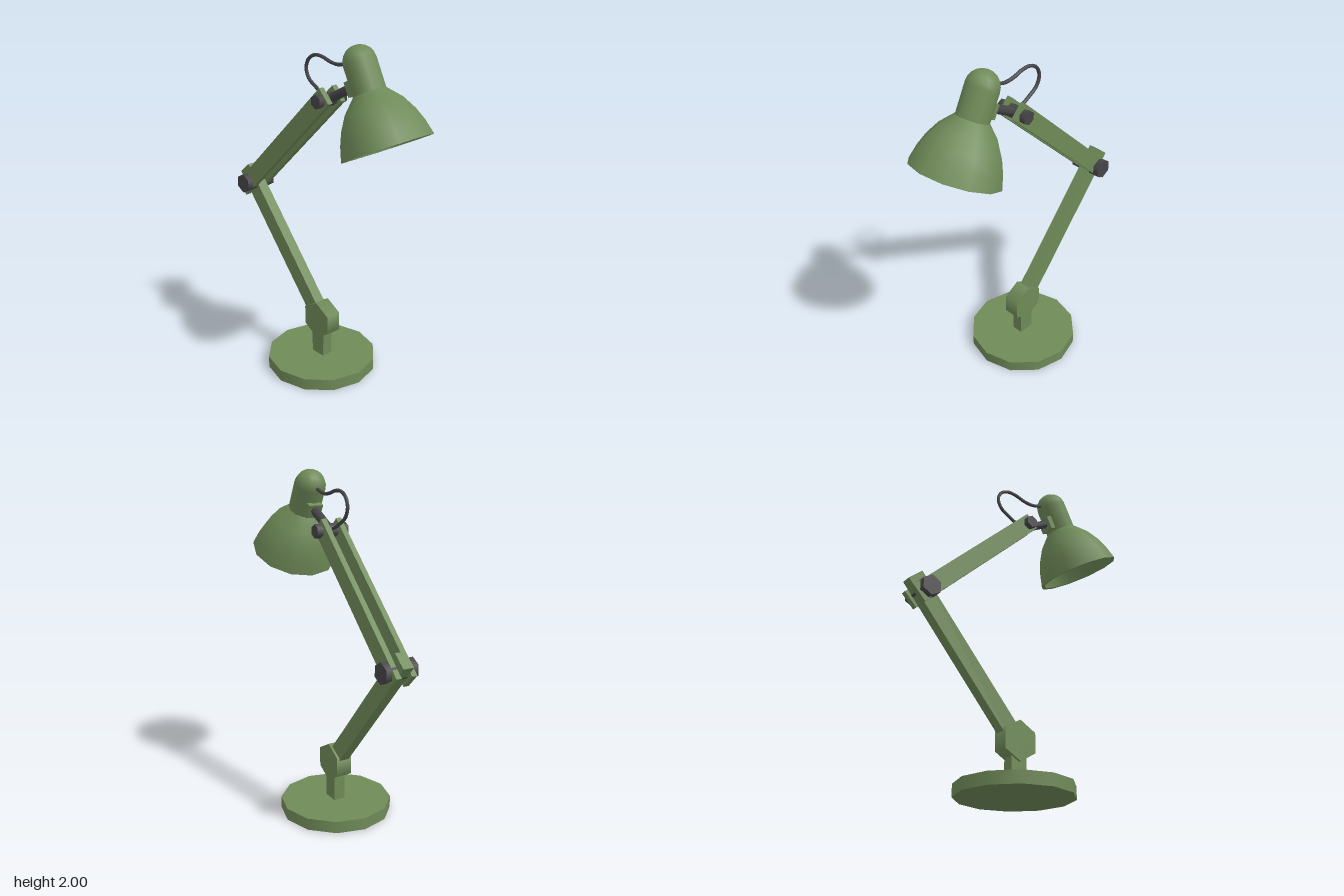
import * as THREE from 'three';

const paint = new THREE.MeshStandardMaterial({ color: 0x6f8a58 });
paint.name = 'green paint';
const dark = new THREE.MeshStandardMaterial({ color: 0x454548 });
dark.name = 'dark plastic';
const glass = new THREE.MeshStandardMaterial({ color: 0xc8c8cc });
glass.name = 'bulb glass';

export function createModel() {
  const lamp = new THREE.Group();
  lamp.name = 'deskLamp';

  const add = (parent, name, geometry, material, x = 0, y = 0, z = 0) => {
    const mesh = new THREE.Mesh(geometry, material);
    mesh.name = name;
    mesh.position.set(x, y, z);
    parent.add(mesh);
    return mesh;
  };

  // Hexagonal joint lying along x, with a corner pointing up
  const hexJoint = (name, radius, width, material, y, z) =>
    add(lamp, name, new THREE.CylinderGeometry(radius, radius, width, 6)
      .rotateY(Math.PI / 6).rotateZ(Math.PI / 2), material, 0, y, z);

  // Straight bar in the y-z plane between two [y, z] points
  const bar = (name, a, b, width, depth, x = 0) => {
    const dy = b[0] - a[0], dz = b[1] - a[1];
    const mesh = add(lamp, name, new THREE.BoxGeometry(width, Math.hypot(dy, dz), depth),
      paint, x, (a[0] + b[0]) / 2, (a[1] + b[1]) / 2);
    mesh.rotation.x = Math.atan2(dz, dy);
    return mesh;
  };

  // Base, post and lower joint
  add(lamp, 'base', new THREE.CylinderGeometry(0.33, 0.33, 0.07, 12), paint, 0, 0.035, -0.004);
  add(lamp, 'post', new THREE.BoxGeometry(0.068, 0.2, 0.096), paint, 0, 0.165, 0);
  hexJoint('lowerJoint', 0.115, 0.096, paint, 0.305, 0);

  // Arms: a single lower bar held between two upper plates
  bar('lowerArm', [0.305, 0], [1.106, -0.679], 0.065, 0.102);
  for (const side of [-1, 1]) {
    bar(side > 0 ? 'leftUpperArm' : 'rightUpperArm',
      [0.984, -0.668], [1.706, 0.082], 0.033, 0.105, side * 0.048);
  }
  hexJoint('elbowKnob', 0.06, 0.2, dark, 1.034, -0.613);
  hexJoint('headKnob', 0.04, 0.2, dark, 1.676, 0.056);

  // Rod from the upper knob to the head
  const rodStart = new THREE.Vector3(0, 1.676, 0.056);
  const rodEnd = new THREE.Vector3(0, 1.785, 0.26);
  add(lamp, 'headRod', new THREE.TubeGeometry(
    new THREE.LineCurve3(rodStart, rodEnd), 1, 0.026, 8), dark);

  // Head, built upright around its own axis and then tilted
  const head = new THREE.Group();
  head.name = 'head';
  head.position.set(0, 1.499, 0.493);
  head.rotation.x = -0.468;
  lamp.add(head);

  const lathe = (name, points, material) => add(head, name,
    new THREE.LatheGeometry(points.map(([r, y]) => new THREE.Vector2(r, y)), 12), material);

  const outer = [[0.253, 0], [0.232, 0.08], [0.204, 0.15], [0.16, 0.225], [0.088, 0.302]];
  const inner = [[0.06, 0.285], [0.142, 0.212], [0.184, 0.143], [0.212, 0.075], [0.231, 0]];
  lathe('shadeOuter', outer, paint);
  lathe('shadeInner', [[0, 0.285], ...inner], paint);
  lathe('shadeRim', [[0.231, 0], [0.253, 0]], paint);

  // Neck with a domed cap
  const neck = [[0.092, 0.28], [0.092, 0.46]];
  for (let i = 1; i <= 5; i++) {
    const a = (i / 5) * Math.PI / 2;
    neck.push([i === 5 ? 0 : 0.092 * Math.cos(a), 0.46 + 0.092 * Math.sin(a)]);
  }
  lathe('neck', neck, paint);
  add(head, 'bracket', new THREE.BoxGeometry(0.09, 0.082, 0.05), paint, 0, 0.353, -0.09);
  add(head, 'bulb', new THREE.SphereGeometry(0.075, 16, 12), glass, 0, 0.145, 0);
  add(head, 'bulbSocket', new THREE.CylinderGeometry(0.04, 0.04, 0.1, 12), dark, 0, 0.24, 0);

  // Loose cable looping from the neck back to the arm
  const cable = [[1.9, 0.23], [1.89, 0.19], [1.874, 0.13], [1.878, 0.07], [1.898, 0],
    [1.898, -0.06], [1.87, -0.108], [1.818, -0.128], [1.762, -0.105], [1.728, -0.055],
    [1.698, 0], [1.68, 0.05]];
  add(lamp, 'cable', new THREE.TubeGeometry(new THREE.CatmullRomCurve3(
    cable.map(([y, z]) => new THREE.Vector3(0, y, z))), 40, 0.01, 8), dark);

  return lamp;
}
